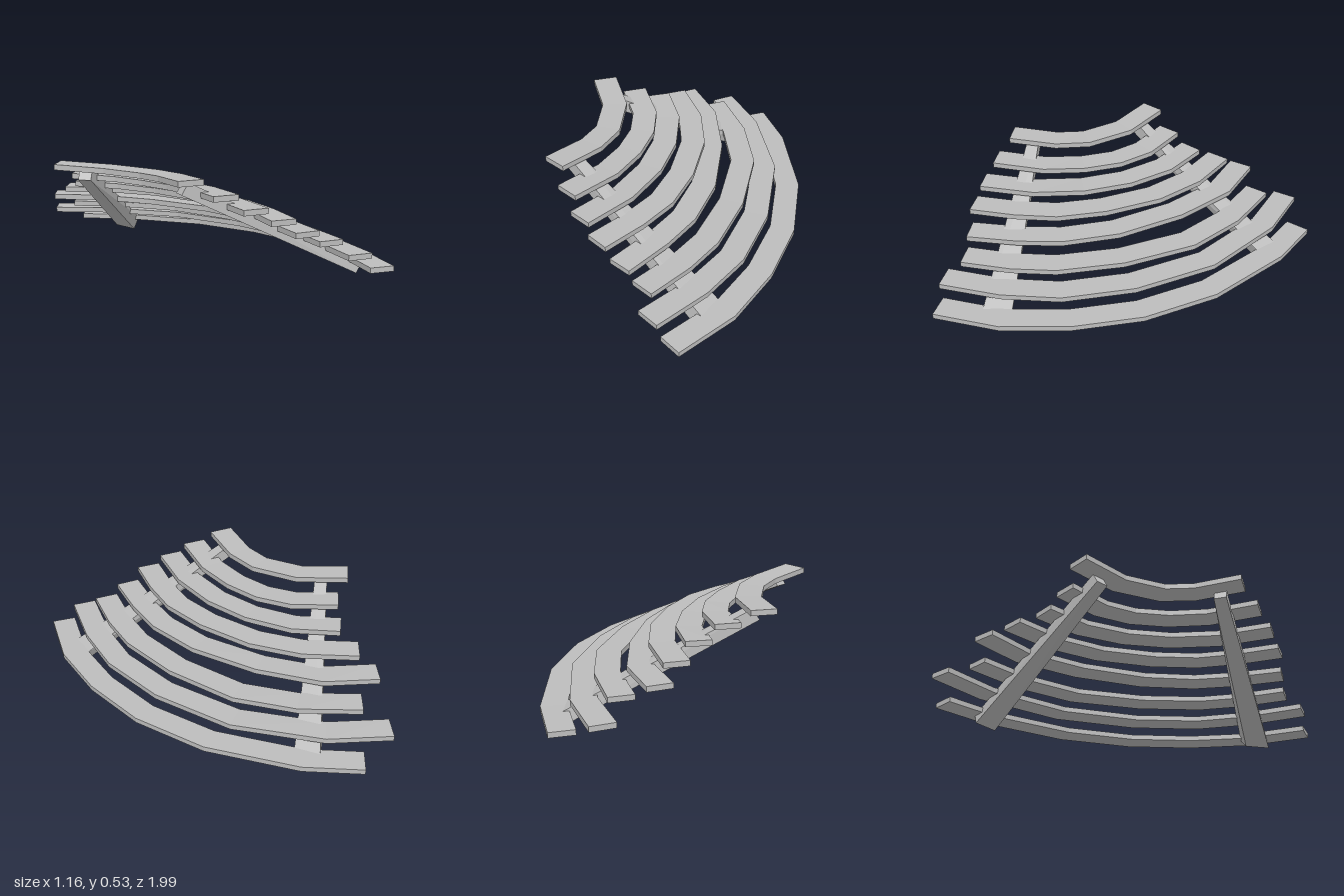
import * as THREE from 'three';
import { ConvexGeometry } from 'three/addons/geometries/ConvexGeometry.js';

const WIDTH = 0.12, THICK = 0.026;

// Each tread: top height at the back end, middle and front end, then its outer edge as [x, z] from back to front
const treads = [
  { y: [0.53, 0.512, 0.53], edge: [[-0.48, -0.435], [-0.355, -0.21], [-0.32, 0.03], [-0.36, 0.2], [-0.475, 0.41]] },
  { y: [0.463, 0.445, 0.463], edge: [[-0.33, -0.47], [-0.215, -0.27], [-0.18, -0.09], [-0.195, 0.1], [-0.25, 0.3], [-0.38, 0.525]] },
  { y: [0.4, 0.388, 0.4], edge: [[-0.22, -0.55], [-0.11, -0.34], [-0.068, -0.1], [-0.083, 0.14], [-0.155, 0.385], [-0.29, 0.62]] },
  { y: [0.346, 0.345, 0.345], edge: [[-0.165, -0.69], [-0.02, -0.46], [0.055, -0.21], [0.062, 0.08], [0.02, 0.32], [-0.07, 0.51], [-0.19, 0.7]] },
  { y: [0.286, 0.275, 0.276], edge: [[-0.135, -0.82], [0.03, -0.61], [0.13, -0.3], [0.168, 0.05], [0.13, 0.33], [0.05, 0.53], [-0.07, 0.75]] },
  { y: [0.22, 0.212, 0.222], edge: [[0.035, -0.83], [0.2, -0.58], [0.305, -0.29], [0.313, 0.08], [0.255, 0.4], [0.17, 0.6], [0.045, 0.81]] },
  { y: [0.16, 0.15, 0.165], edge: [[0.05, -1], [0.24, -0.76], [0.41, -0.35], [0.438, 0.07], [0.38, 0.42], [0.265, 0.68], [0.1, 0.93]] },
  { y: [0.091, 0.09, 0.09], edge: [[0.25, -0.97], [0.4, -0.73], [0.547, -0.3], [0.574, 0.08], [0.515, 0.42], [0.4, 0.725], [0.21, 0.99]] },
];

// Curved plank: four-cornered sections along the edge, mitred at each bend
function treadGeometry({ y, edge }) {
  const pts = edge.map(([x, z]) => new THREE.Vector2(x, z));
  const normals = pts.slice(1).map((p, i) => {
    const d = p.clone().sub(pts[i]).normalize();
    return new THREE.Vector2(-d.y, d.x); // towards the inner side
  });
  const n = pts.length;
  const sections = pts.map((p, i) => {
    const a = normals[Math.max(i - 1, 0)], b = normals[Math.min(i, n - 2)];
    const m = a.clone().add(b).normalize();
    const q = p.clone().addScaledVector(m, WIDTH / m.dot(a));
    const t = (i / (n - 1)) * 2 - 1;
    const top = y[1] + (y[t < 0 ? 0 : 2] - y[1]) * t * t, low = top - THICK;
    return [[p.x, top, p.y], [p.x, low, p.y], [q.x, low, q.y], [q.x, top, q.y]];
  });
  const pos = [];
  const quad = (a, b, c, d) => pos.push(...a, ...b, ...c, ...a, ...c, ...d);
  for (let i = 0; i < n - 1; i++) {
    const s = sections[i], e = sections[i + 1];
    for (let k = 0; k < 4; k++) {
      const j = (k + 1) % 4;
      quad(s[k], e[k], e[j], s[j]);
    }
  }
  const [a, b, c, d] = sections[0], [e, f, g, h] = sections[n - 1];
  quad(a, b, c, d);
  quad(h, g, f, e);
  const geo = new THREE.BufferGeometry();
  geo.setAttribute('position', new THREE.Float32BufferAttribute(pos, 3));
  geo.computeVertexNormals();
  return geo;
}

// Sloping bars under the treads, wider at the foot
const stringers = {
  frontStringer: [
    [-0.465, 0.503, 0.32], [-0.435, 0.503, 0.268], [-0.495, 0.45, 0.305], [-0.465, 0.45, 0.253],
    [0.3, 0.065, 0.79], [0.345, 0.065, 0.655], [0.26, 0.005, 0.78], [0.295, 0.018, 0.665],
  ],
  backStringer: [
    [-0.465, 0.503, -0.325], [-0.435, 0.503, -0.272], [-0.495, 0.45, -0.31], [-0.465, 0.45, -0.257],
    [0.315, 0.07, -0.775], [0.355, 0.065, -0.66], [0.285, 0.018, -0.768], [0.325, 0, -0.67],
  ],
};

export function createModel() {
  const model = new THREE.Group();
  model.name = 'curvedSteps';
  const grey = new THREE.MeshStandardMaterial({ color: 0xbcbcbc });
  grey.name = 'grey';
  const add = (name, geo) => {
    const mesh = new THREE.Mesh(geo, grey);
    mesh.name = name;
    model.add(mesh);
  };
  treads.forEach((t, i) => add(`tread${i + 1}`, treadGeometry(t)));
  for (const [name, corners] of Object.entries(stringers)) {
    add(name, new ConvexGeometry(corners.map((c) => new THREE.Vector3(...c))));
  }
  return model;
}
